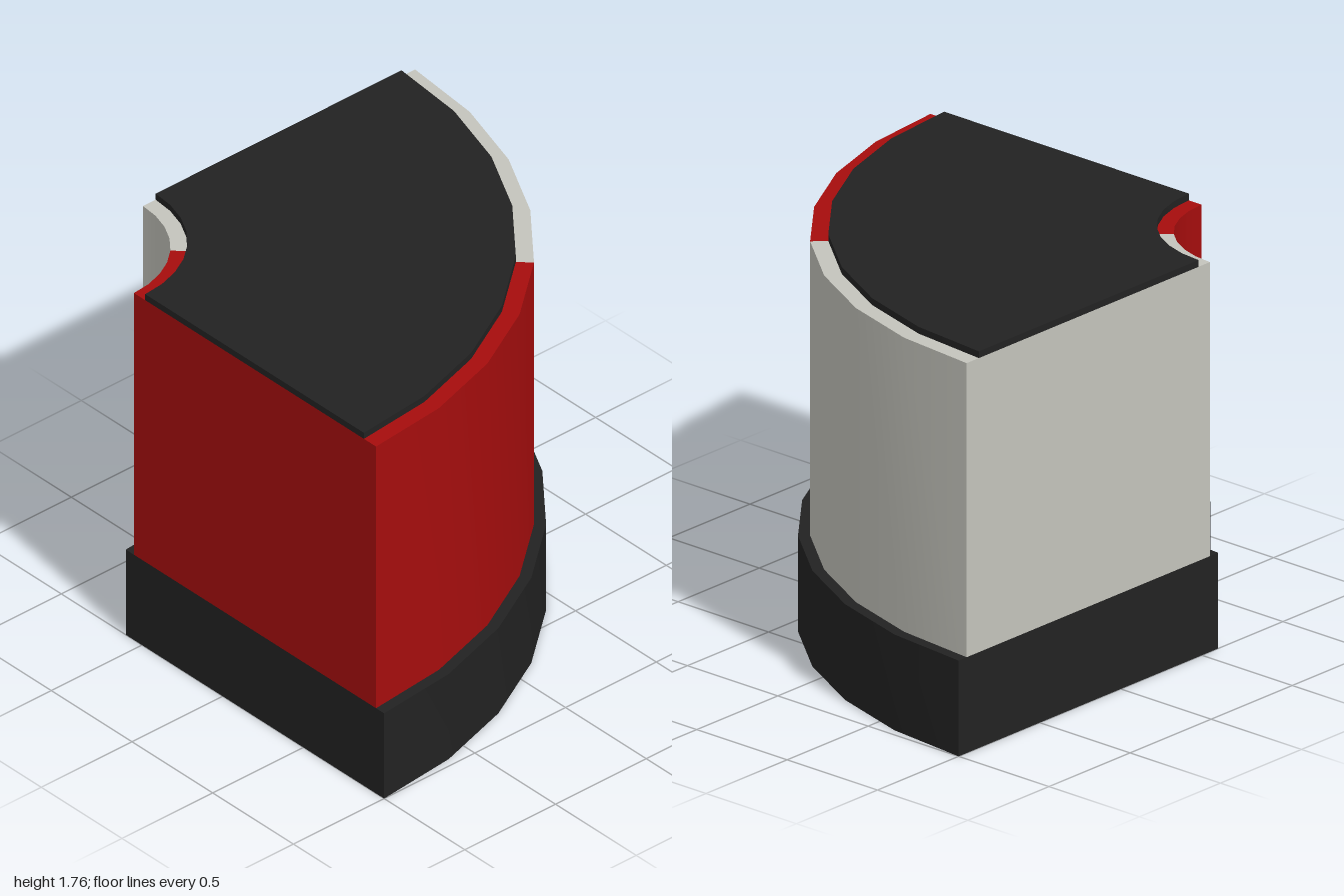
import * as THREE from 'three';
import { mergeGeometries, toCreasedNormals } from 'three/addons/utils/BufferGeometryUtils.js';

const STEP = Math.PI / 16; // facet angle: eight facets per quarter turn

// Closed ring sector around the y axis, angles counted in facets from +z towards +x
function ringSector(inner, outer, bottom, top, first, count) {
  const profile = [[inner, bottom], [outer, bottom], [outer, top], [inner, top], [inner, bottom]]
    .map(([r, y]) => new THREE.Vector2(r, y));
  const start = first * STEP;
  const end = (first + count) * STEP;
  const wall = toCreasedNormals(new THREE.LatheGeometry(profile, count, start, count * STEP), Math.PI / 6);

  // Flat faces closing the two cut ends
  const middle = (inner + outer) / 2;
  const ends = [[start, -1], [end, 1]].map(([angle, side]) =>
    new THREE.PlaneGeometry(outer - inner, top - bottom)
      .rotateY(angle + side * Math.PI / 2)
      .translate(middle * Math.sin(angle), (bottom + top) / 2, middle * Math.cos(angle))
      .toNonIndexed());
  return mergeGeometries([wall, ...ends]);
}

export function createModel() {
  const black = new THREE.MeshStandardMaterial({ name: 'black', color: 0x222222 });
  const red = new THREE.MeshStandardMaterial({ name: 'red', color: 0xa60d0d });
  const white = new THREE.MeshStandardMaterial({ name: 'offWhite', color: 0xc4c4bc });

  const model = new THREE.Group();
  model.name = 'curvedCornerBlock';
  const add = (name, material, ...sector) => {
    const mesh = new THREE.Mesh(ringSector(...sector), material);
    mesh.name = name;
    mesh.position.set(-1, 0, -1); // centre of the bend
    model.add(mesh);
  };

  // Wide plinth
  add('base', black, 0.4, 2, 0, 0.425, 0, 8);
  // Two-colour body, split at half the bend
  add('redBody', red, 0.45, 1.95, 0.425, 1.73, 0, 4);
  add('whiteBody', white, 0.45, 1.95, 0.425, 1.73, 4, 4);
  // Thin inset top plate
  add('topPlate', black, 0.52, 1.875, 1.73, 1.76, 0, 8);

  return model;
}
